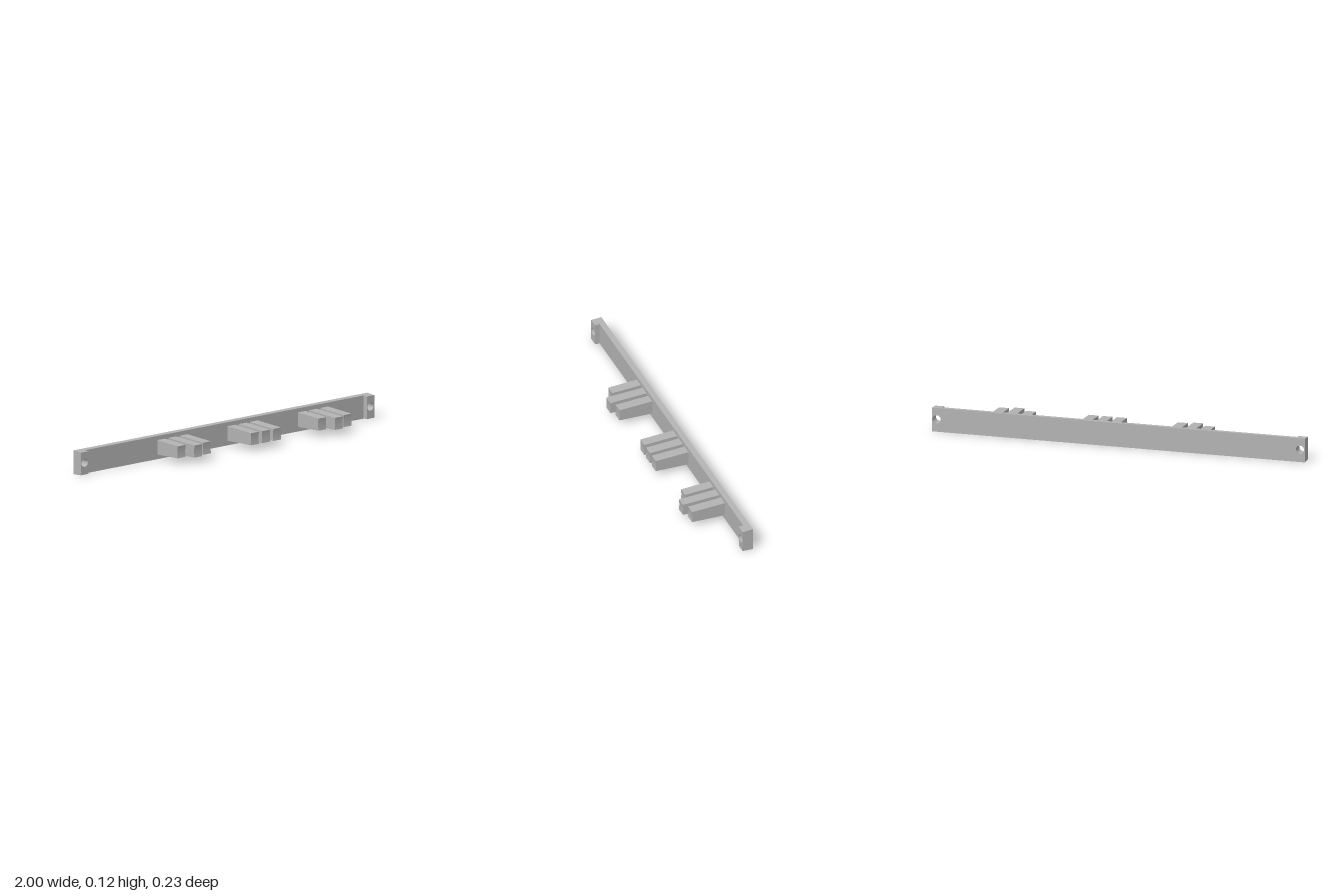
import * as THREE from 'three';

const BACK = -0.116, STEP = -0.085, LIP = -0.06, MID = 0.0625;

// Front-facing plate with screw holes, extruded from z0 to z1 and drafted toward the front
function plate(x0, x1, z0, z1, holeXs) {
  const shape = new THREE.Shape();
  shape.moveTo(x0, 0).lineTo(x1, 0).lineTo(x1, 0.125).lineTo(x0, 0.125).closePath();
  for (const x of holeXs) {
    shape.holes.push(new THREE.Path().absarc(x, 0.065, 0.022, 0, Math.PI * 2, true));
  }
  const geo = new THREE.ExtrudeGeometry(shape, { depth: z1 - z0, bevelEnabled: false, curveSegments: 16 });
  geo.translate(0, 0, z0);
  const p = geo.attributes.position;
  for (let i = 0; i < p.count; i++) {
    const draft = 1 - (p.getZ(i) - BACK) * 0.9;
    p.setY(i, MID + (p.getY(i) - MID) * draft);
  }
  geo.computeVertexNormals();
  return geo;
}

// Tapered prong: side profile with a slightly hollow tip, extruded across x
function prong(tipZ, width) {
  const s = new THREE.Shape();
  s.moveTo(-STEP, 0.026).lineTo(-STEP, 0.102).lineTo(-tipZ, 0.096);
  s.quadraticCurveTo(-tipZ + 0.004, 0.0645, -tipZ, 0.033);
  s.closePath();
  const geo = new THREE.ExtrudeGeometry(s, { depth: width, bevelEnabled: false, curveSegments: 6 });
  geo.translate(0, 0, -width / 2);
  geo.rotateY(Math.PI / 2); // profile x becomes -z, depth becomes x
  return geo;
}

export function createModel() {
  const model = new THREE.Group();
  const gray = new THREE.MeshStandardMaterial({ color: 0xb3b3b3 });
  gray.name = 'plain gray';
  const add = (name, geo) => {
    const mesh = new THREE.Mesh(geo, gray);
    mesh.name = name;
    model.add(mesh);
    return mesh;
  };

  // Long backing strip and its raised end blocks
  add('backStrip', plate(-1, 1, BACK, STEP, [-0.974, 0.974]));
  add('leftEndBlock', plate(0.949, 1, STEP, LIP, [0.974]));
  add('rightEndBlock', plate(-1, -0.949, STEP, LIP, [-0.974]));

  // Three groups of three prongs, listed by tip position
  const groups = [
    [-0.355, [0.073, 0.116, 0.097]],
    [0.124, [0.097, 0.097, 0.097]],
    [0.604, [0.073, 0.116, 0.097]],
  ];
  groups.forEach(([cx, tips], g) => {
    tips.forEach((tip, i) => {
      add(`prong${g + 1}_${i + 1}`, prong(tip, 0.053)).position.x = cx + (i - 1) * 0.076;
    });
  });
  return model;
}
